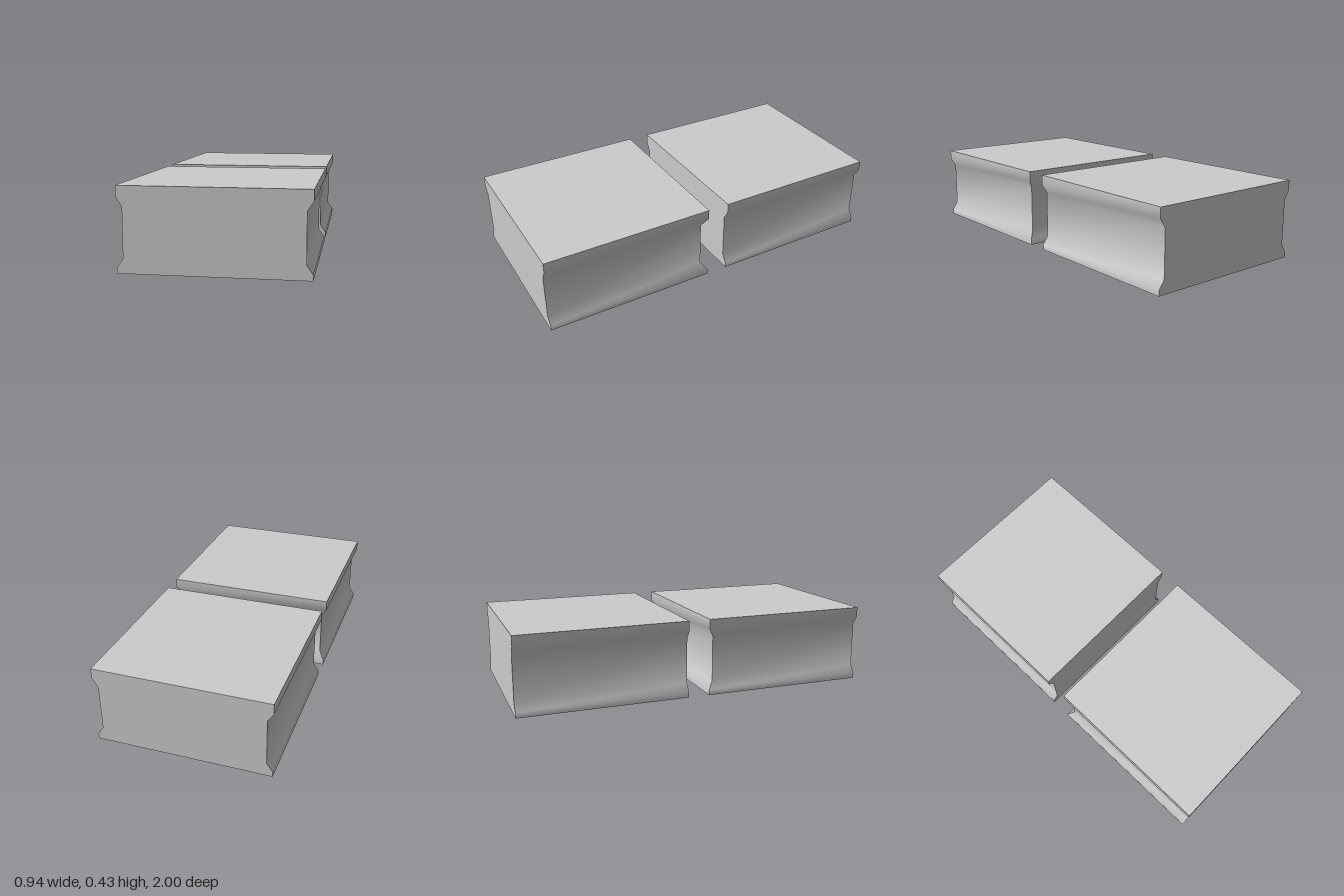
import * as THREE from 'three';
import { toCreasedNormals } from 'three/addons/utils/BufferGeometryUtils.js';

const HALF_WIDTH = 0.47;

// Waisted side profile, bottom to top: [height, inset]
const PROFILE = [[0, 0], [0.03, 0], [0.075, 0.031], [0.325, 0.031], [0.372, 0], [0.427, 0]];

// Block lofted through rectangular sections; the ends are flat unless the back is waisted too
function blockGeometry(zBack, zFront, waistedBack) {
  const positions = [];
  const index = [];
  for (const [y, inset] of PROFILE) {
    const x = HALF_WIDTH - inset;
    const z = zBack + (waistedBack ? inset : 0);
    positions.push(-x, y, zFront, x, y, zFront, x, y, z, -x, y, z);
  }
  const top = (PROFILE.length - 1) * 4;
  for (let ring = 0; ring < top; ring += 4) {
    for (let j = 0; j < 4; j++) {
      const a = ring + j;
      const b = ring + (j + 1) % 4;
      index.push(a, b, b + 4, a, b + 4, a + 4);
    }
  }
  // Bottom and top caps
  index.push(0, 2, 1, 0, 3, 2);
  index.push(top, top + 1, top + 2, top, top + 2, top + 3);

  const geometry = new THREE.BufferGeometry();
  geometry.setAttribute('position', new THREE.Float32BufferAttribute(positions, 3));
  geometry.setIndex(index);
  // Blend the shallow bends of the waist, keep the box edges sharp
  return toCreasedNormals(geometry, Math.PI / 4);
}

export function createModel() {
  const group = new THREE.Group();
  group.name = 'plinthPair';
  const material = new THREE.MeshStandardMaterial({ color: 0xcccccc });

  const frontBlock = new THREE.Mesh(blockGeometry(0.06, 1, true), material);
  frontBlock.name = 'frontBlock';

  const backBlock = new THREE.Mesh(blockGeometry(-1, -0.06, false), material);
  backBlock.name = 'backBlock';

  group.add(frontBlock, backBlock);
  return group;
}
